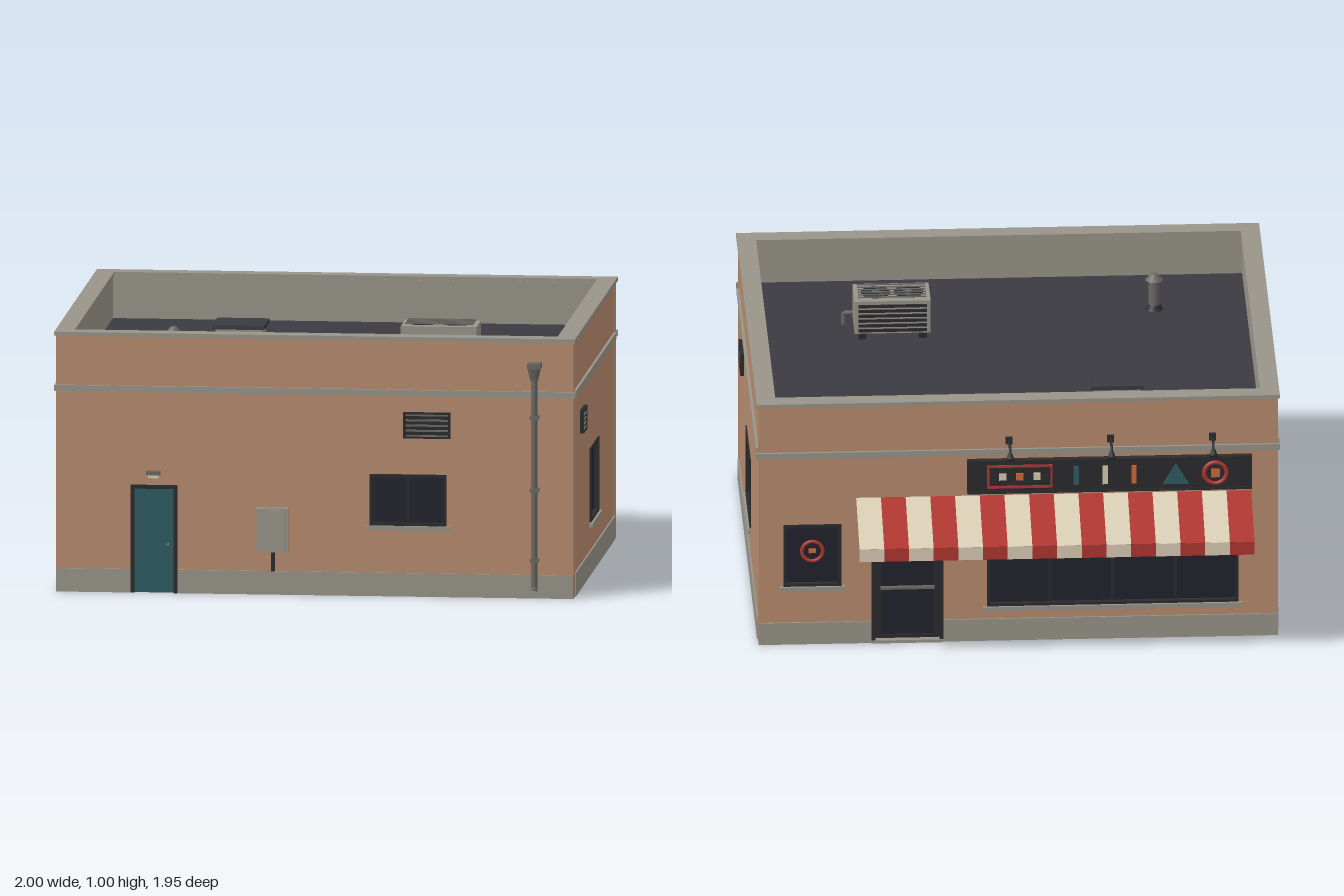
import * as THREE from 'three';

const mat = (name, color) => {
  const m = new THREE.MeshStandardMaterial({ color });
  m.name = name;
  return m;
};
const WALL = mat('terracotta wall', 0xb88c6e), TRIM = mat('stone grey', 0x98948a), ROOF = mat('roof felt', 0x3b3a41);
const DARK = mat('dark frame', 0x2b2b2f), GLASS = mat('dark glass', 0x22222d), TEAL = mat('teal paint', 0x2f5b64);
const RED = mat('red', 0xb03530), CREAM = mat('cream', 0xd9cdb4), METAL = mat('grey metal', 0x6a6964), ORANGE = mat('orange', 0xcf6a3a);

function add(parent, name, geo, material, x = 0, y = 0, z = 0) {
  const m = new THREE.Mesh(geo, material);
  m.name = name;
  m.position.set(x, y, z);
  parent.add(m);
  return m;
}
// Box given by its limits on each axis
function box(p, name, m, x0, x1, y0, y1, z0, z1) {
  return add(p, name, new THREE.BoxGeometry(x1 - x0, y1 - y0, z1 - z0), m, (x0 + x1) / 2, (y0 + y1) / 2, (z0 + z1) / 2);
}
function tube(p, name, m, pts, r) {
  const path = new THREE.CurvePath();
  const v = pts.map(a => new THREE.Vector3(...a));
  for (let i = 1; i < v.length; i++) path.add(new THREE.LineCurve3(v[i - 1], v[i]));
  return add(p, name, new THREE.TubeGeometry(path, (v.length - 1) * 6, r, 8), m);
}
function group(parent, name) {
  const g = new THREE.Group();
  g.name = name;
  parent.add(g);
  return g;
}

// Upright panel with door notches and window holes, each [u0, u1, y0, y1]
function panel(u0, u1, h, openings, depth) {
  const s = new THREE.Shape().moveTo(u0, 0);
  for (const [a, b, y0, y1] of openings) {
    if (y0 === 0) s.lineTo(a, 0).lineTo(a, y1).lineTo(b, y1).lineTo(b, 0);
    else s.holes.push(new THREE.Path().moveTo(a, y0).lineTo(a, y1).lineTo(b, y1).lineTo(b, y0).closePath());
  }
  s.lineTo(u1, 0).lineTo(u1, h).lineTo(u0, h).closePath();
  return new THREE.ExtrudeGeometry(s, { depth, bevelEnabled: false });
}

// One side of the building: local z points outward, the wall face is z = 0
function facade(root, name, angle, x, z, outer, inner, openings) {
  const f = group(root, name);
  f.rotation.y = angle;
  f.position.set(x, 0, z);
  add(f, 'wall', panel(...outer, 0.985, openings, 0.055), WALL, 0, 0, -0.055);
  add(f, 'wallLining', panel(...inner, 0.985, openings, 0.004), TRIM, 0, 0, -0.059);
  let start = outer[0];
  for (const [a, b, y0] of openings) if (y0 === 0) {
    box(f, 'plinth', TRIM, start, a, 0, 0.09, 0, 0.006);
    start = b;
  }
  box(f, 'plinth', TRIM, start, outer[1], 0, 0.09, 0, 0.006);
  box(f, 'stringCourse', TRIM, outer[0] - 0.008, outer[1] + 0.008, 0.772, 0.796, 0, 0.01);
  return f;
}

function frame(f, name, m, u0, u1, y0, y1, z0, z1, t, bottom = true) {
  box(f, name, m, u0, u0 + t, y0, y1, z0, z1);
  box(f, name, m, u1 - t, u1, y0, y1, z0, z1);
  box(f, name, m, u0 + t, u1 - t, y1 - t, y1, z0, z1);
  if (bottom) box(f, name, m, u0 + t, u1 - t, y0, y0 + t, z0, z1);
}

function windowUnit(f, [u0, u1, y0, y1], panes) {
  const w = group(f, 'window');
  frame(w, 'windowFrame', DARK, u0, u1, y0, y1, -0.055, 0.005, 0.012);
  box(w, 'windowGlass', GLASS, u0 + 0.012, u1 - 0.012, y0 + 0.012, y1 - 0.012, -0.03, -0.015);
  for (let i = 1; i < panes; i++) {
    const u = u0 + (u1 - u0) * i / panes;
    box(w, 'mullion', DARK, u - 0.005, u + 0.005, y0 + 0.012, y1 - 0.012, -0.035, -0.008);
  }
  box(w, 'windowSill', TRIM, u0 - 0.015, u1 + 0.015, y0 - 0.015, y0 + 0.002, 0, 0.014);
}

function wallVent(f, u0, u1, y0, y1) {
  const v = group(f, 'wallVent');
  box(v, 'ventBack', DARK, u0, u1, y0, y1, 0, 0.006);
  frame(v, 'ventFrame', DARK, u0, u1, y0, y1, 0.006, 0.014, 0.007);
  for (let i = 0; i < 5; i++) {
    const y = y0 + (y1 - y0) * (i + 0.5) / 5;
    box(v, 'ventSlat', METAL, u0 + 0.009, u1 - 0.009, y - 0.004, y + 0.003, 0.006, 0.011);
  }
}

function frontDetails(f, door) {
  const [a, b, , h] = door;
  frame(f, 'doorFrame', DARK, a, b, 0, h, -0.055, 0.01, 0.014, false);
  box(f, 'serviceDoor', TEAL, a + 0.014, b - 0.014, 0, h - 0.014, -0.05, -0.008);
  add(f, 'doorHandle', new THREE.SphereGeometry(0.007, 10, 8), METAL, -0.56, 0.185, 0);
  box(f, 'doorLamp', METAL, -0.643, -0.59, 0.455, 0.47, 0, 0.022);
  box(f, 'doorLampGlass', CREAM, -0.637, -0.596, 0.443, 0.455, 0, 0.018);
  box(f, 'meterBox', TRIM, -0.22, -0.1, 0.165, 0.335, 0, 0.03);
  box(f, 'meterBoxDoor', TRIM, -0.212, -0.108, 0.173, 0.327, 0.03, 0.034);
  box(f, 'meterConduit', DARK, -0.167, -0.153, 0.09, 0.165, 0, 0.014);
  wallVent(f, 0.34, 0.52, 0.61, 0.71);
  // Downpipe
  const d = group(f, 'downpipe');
  tube(d, 'pipe', METAL, [[0.843, 0.87, 0.03], [0.843, 0.035, 0.03]], 0.0125);
  tube(d, 'pipeShoe', METAL, [[0.843, 0.04, 0.025], [0.843, 0.032, 0.068]], 0.0125).material = METAL;
  const hopper = add(d, 'hopper', new THREE.CylinderGeometry(0.034, 0.018, 0.05, 4, 1).rotateY(Math.PI / 4), METAL, 0.843, 0.865, 0.028);
  hopper.scale.set(1, 1, 1);
  box(d, 'hopperRim', METAL, 0.817, 0.869, 0.888, 0.91, 0, 0.052);
  for (const y of [0.15, 0.42, 0.7]) box(d, 'pipeBracket', METAL, 0.826, 0.86, y - 0.006, y + 0.006, 0, 0.044);
}

function shopFront(f, door, small) {
  // Glazed entrance door
  const [a, b, , h] = door;
  frame(f, 'entranceFrame', DARK, a, b, 0, h, -0.055, 0.008, 0.016, false);
  box(f, 'entranceGlass', GLASS, a + 0.016, b - 0.016, 0, h - 0.016, -0.04, -0.02);
  frame(f, 'entranceStile', DARK, a + 0.018, b - 0.018, 0.005, h - 0.018, -0.045, -0.012, 0.02);
  box(f, 'pushBar', METAL, a + 0.035, b - 0.035, 0.218, 0.228, -0.012, 0.002);
  box(f, 'threshold', TRIM, a, b, 0, 0.012, -0.055, 0.012);
  // Lit ring in the small window
  const cu = (small[0] + small[1]) / 2;
  add(f, 'windowRing', new THREE.TorusGeometry(0.04, 0.007, 8, 24), RED, cu, 0.38, -0.01);
  box(f, 'windowRingCentre', ORANGE, cu - 0.014, cu + 0.014, 0.372, 0.388, -0.015, -0.008);
  // Sign board with plain shapes
  const s = group(f, 'signBoard');
  box(s, 'board', DARK, -0.195, 0.89, 0.618, 0.755, 0, 0.02);
  frame(s, 'boardEdge', DARK, -0.195, 0.89, 0.618, 0.755, 0.02, 0.025, 0.008);
  frame(s, 'signOutline', RED, -0.12, 0.13, 0.64, 0.735, 0.02, 0.026, 0.009);
  [[-0.06, CREAM], [0.005, ORANGE], [0.07, CREAM]].forEach(([u, m]) =>
    box(s, 'signSquare', m, u - 0.014, u + 0.014, 0.673, 0.701, 0.02, 0.026));
  [[0.22, TEAL], [0.33, CREAM], [0.44, ORANGE]].forEach(([u, m]) =>
    box(s, 'signBar', m, u - 0.01, u + 0.01, 0.65, 0.725, 0.02, 0.026));
  const tri = new THREE.Shape().moveTo(0.55, 0.645).lineTo(0.65, 0.645).lineTo(0.6, 0.73).closePath();
  add(s, 'signTriangle', new THREE.ExtrudeGeometry(tri, { depth: 0.006, bevelEnabled: false }), TEAL, 0, 0, 0.02);
  add(s, 'signRing', new THREE.TorusGeometry(0.043, 0.008, 8, 24), RED, 0.75, 0.687, 0.021);
  box(s, 'signRingCentre', ORANGE, 0.733, 0.767, 0.67, 0.704, 0.02, 0.026);
  // Striped awning and its arms
  const w = group(f, 'awning');
  const n = 16, u0 = -0.618, u1 = 0.888, step = (u1 - u0) / n;
  const drop = Math.atan2(0.1, 0.262), len = Math.hypot(0.1, 0.262);
  for (let i = 0; i < n; i++) {
    const m = i % 2 ? RED : CREAM, u = u0 + i * step;
    const slope = add(w, 'awningStripe', new THREE.BoxGeometry(step, 0.006, len), m, u + step / 2, 0.55, 0.131);
    slope.rotation.x = drop;
    box(w, 'awningValance', m, u, u + step, 0.45, 0.502, 0.258, 0.264);
  }
  for (const u of [u0 + 0.02, u1 - 0.02]) {
    tube(w, 'awningArm', DARK, [[u, 0.458, 0], [u, 0.498, 0.258]], 0.005);
    box(w, 'armPlate', DARK, u - 0.012, u + 0.012, 0.445, 0.471, 0, 0.008);
  }
  // Sign lamps
  for (const u of [-0.035, 0.352, 0.74]) {
    const l = group(f, 'signLamp');
    box(l, 'lampPlate', DARK, u - 0.013, u + 0.013, 0.815, 0.845, 0, 0.008);
    tube(l, 'lampArm', DARK, [[u, 0.83, 0], [u, 0.83, 0.07], [u, 0.808, 0.088]], 0.005);
    const shade = add(l, 'lampShade', new THREE.CylinderGeometry(0.008, 0.016, 0.026, 12), DARK, u, 0.8, 0.092);
    shade.rotation.x = -0.6;
  }
}

function roofUnits(root) {
  const y = 0.822;
  // Cooling unit with two fans on top and louvres at the back
  const c = group(root, 'coolingUnit');
  for (const x of [0.3, 0.53]) box(c, 'unitFoot', DARK, x, x + 0.03, y, y + 0.02, 0.29, 0.475);
  box(c, 'unitCase', TRIM, 0.285, 0.575, y + 0.02, 0.975, 0.297, 0.467);
  for (const x of [0.365, 0.492]) {
    add(c, 'fanOpening', new THREE.CylinderGeometry(0.056, 0.056, 0.004, 28), DARK, x, 0.976, 0.382);
    add(c, 'fanHub', new THREE.CylinderGeometry(0.014, 0.014, 0.006, 16), METAL, x, 0.977, 0.382);
  }
  for (let i = 0; i < 6; i++) {
    const z = 0.322 + i * 0.024, h = 0.85 + i * 0.02;
    box(c, 'fanGuard', METAL, 0.3, 0.56, 0.98, 0.984, z - 0.003, z + 0.003);
    box(c, 'unitLouvre', DARK, 0.3, 0.56, h, h + 0.011, 0.291, 0.297);
  }
  tube(c, 'unitPipe', METAL, [[0.57, 0.87, 0.437], [0.612, 0.87, 0.437], [0.612, y, 0.437]], 0.008);
  // Access hatch
  const h = group(root, 'roofHatch');
  box(h, 'hatchCurb', TRIM, -0.485, -0.31, y, 0.862, -0.32, -0.14);
  box(h, 'hatchLid', ROOF, -0.497, -0.298, 0.862, 0.878, -0.33, -0.13);
  // Vent pipe
  const v = group(root, 'ventPipe');
  add(v, 'stack', new THREE.CylinderGeometry(0.021, 0.021, 0.13, 18), METAL, -0.578, y + 0.065, 0.525);
  add(v, 'flashing', new THREE.CylinderGeometry(0.022, 0.034, 0.02, 18), DARK, -0.578, y + 0.01, 0.525);
  add(v, 'cowl', new THREE.CylinderGeometry(0.012, 0.034, 0.025, 18), METAL, -0.578, 0.956, 0.525);
}

export function createModel() {
  const root = new THREE.Group();
  root.name = 'cornerShop';
  const long = [-0.99, 0.99], longIn = [-0.931, 0.931];

  const frontDoor = [-0.705, -0.525, 0, 0.415], frontWin = [0.21, 0.505, 0.27, 0.47];
  const front = facade(root, 'frontSide', 0, 0, 0.905, long, longIn, [frontDoor, frontWin]);
  windowUnit(front, frontWin, 2);
  frontDetails(front, frontDoor);

  const small = [-0.895, -0.675, 0.238, 0.495], entrance = [-0.56, -0.285, 0, 0.525], shop = [-0.12, 0.84, 0.14, 0.56];
  const back = facade(root, 'backSide', Math.PI, 0, -0.71, long, longIn, [small, entrance, shop]);
  windowUnit(back, small, 1);
  windowUnit(back, shop, 4);
  shopFront(back, entrance, small);

  const rightWin = [-0.268, 0.062, 0.197, 0.485];
  const right = facade(root, 'rightSide', Math.PI / 2, 0.988, 0, [-0.85, 0.655], [-0.846, 0.651], [rightWin]);
  windowUnit(right, rightWin, 2);
  wallVent(right, -0.625, -0.48, 0.595, 0.685);

  const leftWins = [[-0.385, -0.08, 0.197, 0.485], [0.27, 0.575, 0.197, 0.485]];
  const left = facade(root, 'leftSide', -Math.PI / 2, -0.988, 0, [-0.655, 0.85], [-0.651, 0.846], leftWins);
  leftWins.forEach(w => windowUnit(left, w, 2));

  // Roof slab, ceiling and coping
  box(root, 'roof', ROOF, -0.93, 0.93, 0.78, 0.822, -0.652, 0.847);
  box(root, 'ceiling', TRIM, -0.93, 0.93, 0.774, 0.78, -0.652, 0.847);
  box(root, 'frontCoping', TRIM, -0.997, 0.997, 0.985, 1, 0.842, 0.914);
  box(root, 'backCoping', TRIM, -0.997, 0.997, 0.985, 1, -0.72, -0.652);
  for (const s of [-1, 1]) {
    const x = s * 0.9605;
    box(root, 'sideCoping', TRIM, x - 0.0365, x + 0.0365, 0.985, 1, -0.652, 0.842);
  }
  roofUnits(root);
  return root;
}
